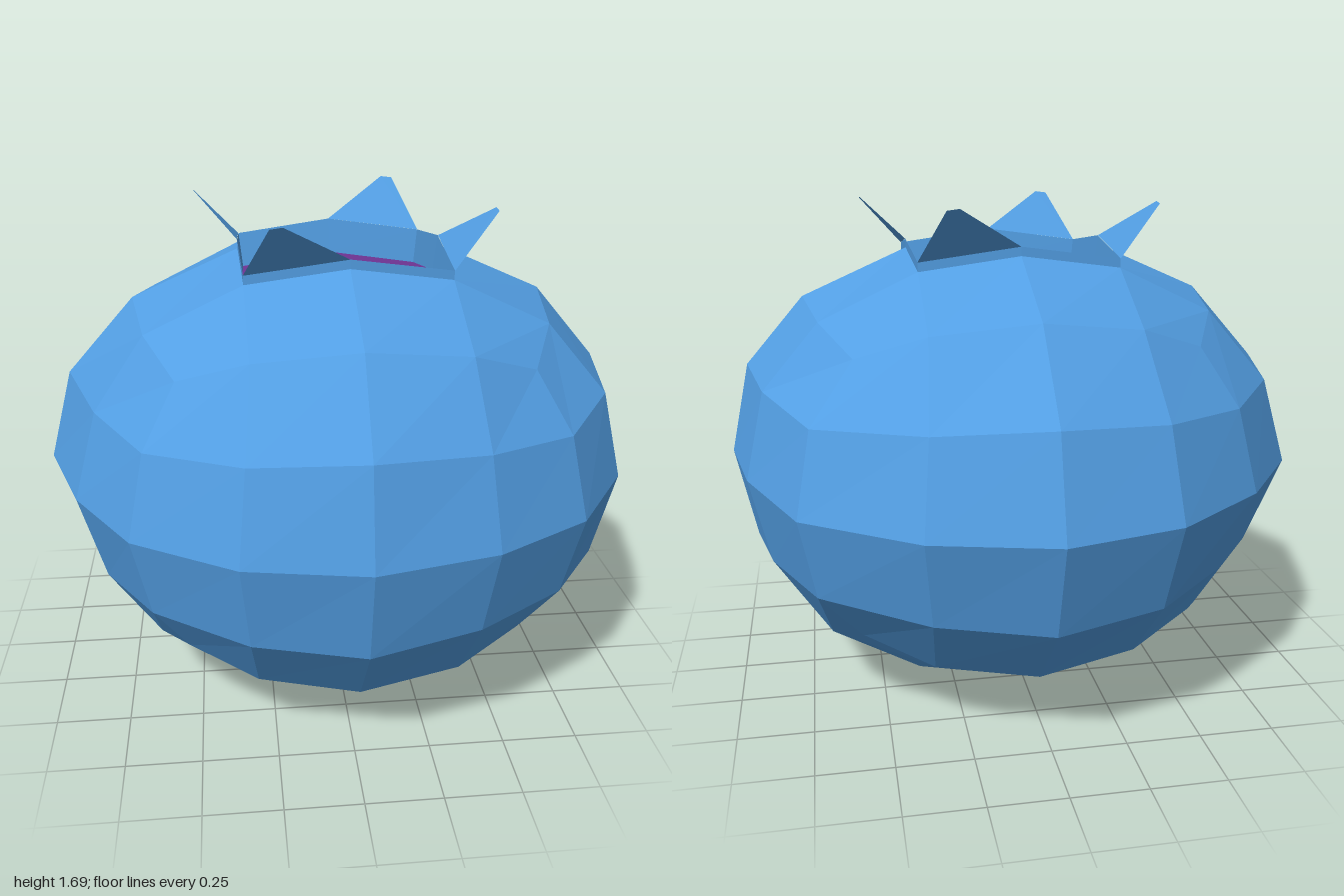
import * as THREE from 'three';

// smoothed-cube positions for a 4x4 grid per face: sorted grid key -> [value at 1, value at 2]
const SMOOTH = {
  '200': [0, 1], '210': [0.4, 0.934], '211': [0.371, 0.87],
  '220': [0, 0.732], '221': [0.344, 0.682], '222': [0, 0.58],
};
const CX = 0.02, CZ = 0.03; // centre of the crown

const blue = new THREE.MeshStandardMaterial({ color: 0x539fe4, flatShading: true });
const blueThin = new THREE.MeshStandardMaterial({ color: 0x539fe4, flatShading: true, side: THREE.DoubleSide });
const purple = new THREE.MeshStandardMaterial({ color: 0x723698, flatShading: true, side: THREE.DoubleSide });

function meshFrom(name, points, index, material) {
  let g = new THREE.BufferGeometry();
  g.setAttribute('position', new THREE.Float32BufferAttribute(points.flat(), 3));
  if (index) {
    g.setIndex(index);
    g = g.toNonIndexed();
  }
  g.computeVertexNormals();
  const m = new THREE.Mesh(g, material);
  m.name = name;
  return m;
}

// eight-point square loop around the crown; corners sit lower than edge middles
function rim(scale, lift) {
  const loop = [];
  for (let i = 0; i < 8; i++) {
    const corner = i % 2 === 1, a = i * Math.PI / 4;
    const r = (corner ? 0.332 * Math.SQRT2 : 0.342) * scale;
    loop.push([CX + r * Math.sin(a), (corner ? 1.485 : 1.53) + lift, CZ + r * Math.cos(a)]);
  }
  return loop;
}

// uneven growth along one axis: offset at the centre, bulge on the + and - sides
function grow(n, offset, plus, minus) {
  const t = Math.abs(n);
  return n + (1 - t) * (offset + (n > 0 ? plus : minus) * t * t);
}

// grid point of the cube -> point on the squashed, slightly lopsided berry
function berryPoint([px, py, pz]) {
  const abs = [px, py, pz].map(v => Math.abs(v));
  const row = SMOOTH[[...abs].sort((a, b) => b - a).join('')];
  const n = [px, py, pz].map((v, i) => (abs[i] ? Math.sign(v) * row[abs[i] - 1] : 0));
  if (py === 2 && abs[0] <= 1 && abs[2] <= 1) { // opening edge, drawn in slightly
    const corner = abs[0] + abs[2] === 2, r = corner ? 0.332 : 0.342;
    return [CX + r * px, corner ? 1.485 : 1.53, CZ + r * pz];
  }
  let x = grow(n[0], 0.02, -0.05, 0.3) - (px === 2 ? 0.008 : 0);
  let y = 0.8 + n[1] * (n[1] < 0 ? 0.8 : 0.78);
  let z = grow(n[2], 0.03, -0.1, 0.5);
  // irregularities of the fruit
  if (px === 2 && abs[1] < 2 && abs[2] < 2) {
    z += 0.04;
    y += 0.02;
  }
  if (px === 2 && pz === -2 && abs[1] < 2) x += 0.04;
  if (px === -2 && pz < 2 && abs[1] < 2 && (pz === 1 || py === -1)) x += 0.04;
  if (pz === 2 && px === 1 && abs[1] < 2) z -= 0.02;
  return [x, y, z];
}

function makeBody() {
  const pos = new THREE.BoxGeometry(4, 4, 4, 4, 4, 4).toNonIndexed().attributes.position;
  const points = [];
  for (let i = 0; i < pos.count; i += 3) {
    const tri = [0, 1, 2].map(k => [pos.getX(i + k), pos.getY(i + k), pos.getZ(i + k)].map(Math.round));
    // leave the middle of the top open
    if (tri.every(p => p[1] === 2 && Math.abs(p[0]) <= 1 && Math.abs(p[2]) <= 1)) continue;
    points.push(...tri.map(berryPoint));
  }
  return meshFrom('berryBody', points, null, blue);
}

// raised lip and the wall going down into the hollow
function makeCollar() {
  const loops = [rim(1, 0), rim(1, 0.03), rim(0.96, -0.09)];
  const index = [];
  for (let l = 0; l < 2; l++) {
    for (let i = 0; i < 8; i++) {
      const a = l * 8 + i, b = l * 8 + (i + 1) % 8;
      index.push(a, b, b + 8, a, b + 8, a + 8);
    }
  }
  return meshFrom('crownCollar', loops.flat(), index, blueThin);
}

function makeFloor() {
  const points = [...rim(0.96, -0.09), [CX, 1.465, CZ]];
  const index = [];
  for (let i = 0; i < 8; i++) index.push(i, (i + 1) % 8, 8);
  return meshFrom('crownHollow', points, index, purple);
}

// one leaf on each half edge, repeated by quarter turns
function makeLeaves() {
  const leaves = new THREE.Group();
  leaves.name = 'crownLeaves';
  const outline = [[-0.333, 1.515, 0.333], [0, 1.56, 0.343], [-0.215, 1.69, 0.485], [-0.255, 1.685, 0.485]];
  for (let i = 0; i < 4; i++) {
    const leaf = meshFrom('crownLeaf', outline, [0, 1, 2, 0, 2, 3], blueThin);
    leaf.rotation.y = i * Math.PI / 2;
    leaves.add(leaf);
  }
  leaves.position.set(CX, 0, CZ);
  return leaves;
}

export function createModel() {
  const model = new THREE.Group();
  model.name = 'berry';
  model.add(makeBody(), makeCollar(), makeFloor(), makeLeaves());
  return model;
}
